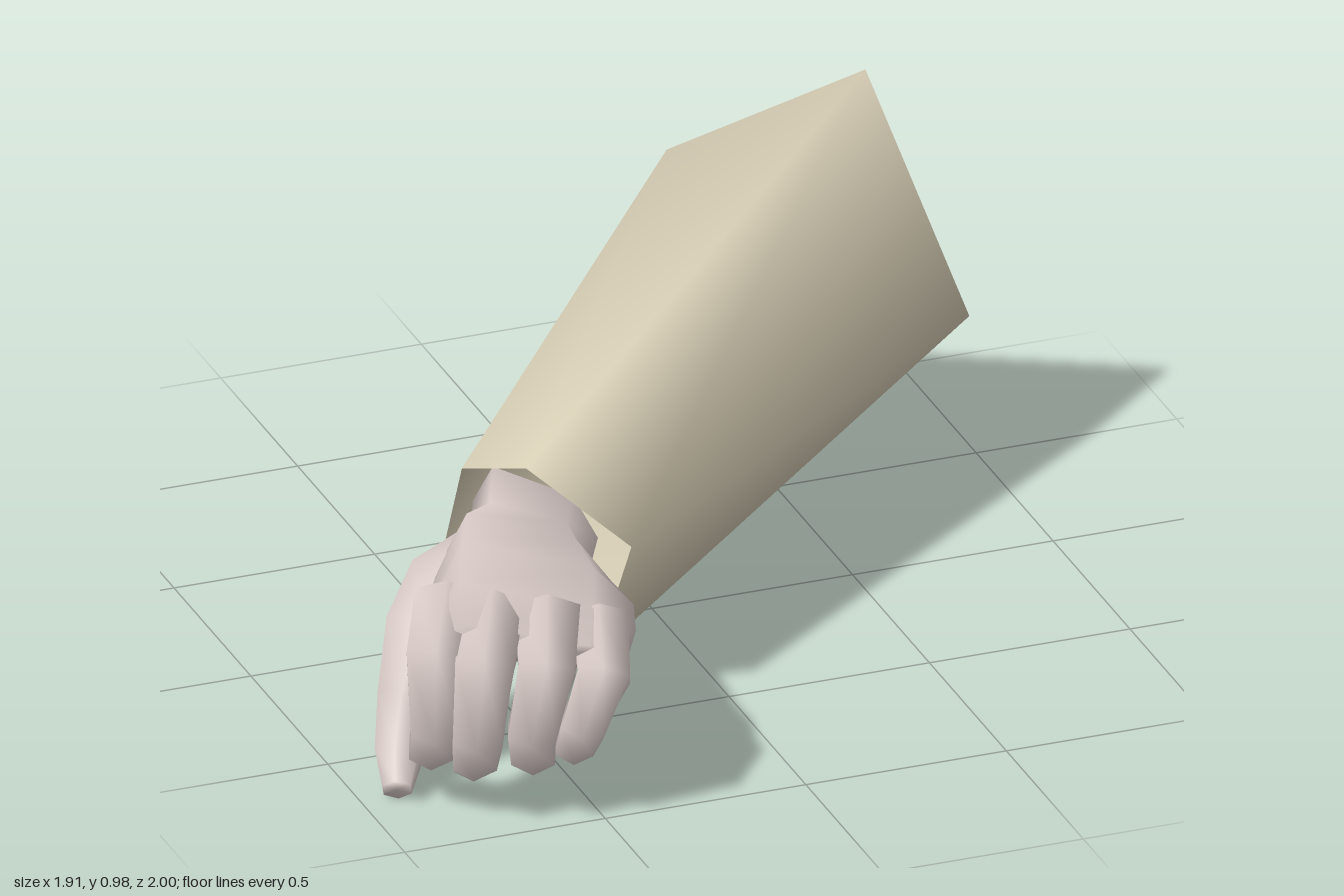
import * as THREE from 'three';

const V = (x, y, z) => new THREE.Vector3(x, y, z);

function buildGeometry(points, index) {
  const g = new THREE.BufferGeometry().setFromPoints(points);
  g.setIndex(index);
  g.computeVertexNormals();
  return g;
}

// Skin a list of equal-sized rings and close both ends
function loft(rings) {
  const n = rings[0].length, last = rings.length - 1;
  const points = rings.flat(), index = [];
  for (let r = 0; r < last; r++) {
    for (let i = 0; i < n; i++) {
      const a = r * n + i, b = r * n + (i + 1) % n;
      index.push(a, b, a + n, b, b + n, a + n);
    }
  }
  for (const r of [0, last]) {
    const centre = points.length;
    points.push(rings[r].reduce((s, p) => s.add(p), V(0, 0, 0)).divideScalar(n));
    for (let i = 0; i < n; i++) {
      const a = r * n + i, b = r * n + (i + 1) % n;
      if (r === 0) index.push(centre, b, a); else index.push(centre, a, b);
    }
  }
  // Turn the faces outward if the rings run the other way
  let volume = 0;
  for (let i = 0; i < index.length; i += 3) {
    volume += points[index[i]].dot(points[index[i + 1]].clone().cross(points[index[i + 2]]));
  }
  if (volume < 0) index.reverse();
  return buildGeometry(points, index);
}

// Six-sided tapered finger along joints [x, y, z, radius]
function fingerGeometry(joints, sideAxis) {
  const centres = joints.map(j => V(j[0], j[1], j[2]));
  return loft(joints.map((j, k) => {
    const before = centres[Math.max(k - 1, 0)], after = centres[Math.min(k + 1, centres.length - 1)];
    const dir = after.clone().sub(before).normalize();
    const side = sideAxis.clone().addScaledVector(dir, -sideAxis.dot(dir)).normalize();
    const up = dir.clone().cross(side);
    return Array.from({ length: 6 }, (_, i) => {
      const a = (i + 0.5) * Math.PI / 3;
      return centres[k].clone()
        .addScaledVector(side, Math.cos(a) * j[3] * 1.18)
        .addScaledVector(up, Math.sin(a) * j[3]);
    });
  }));
}

export function createModel() {
  const model = new THREE.Group();
  const skin = new THREE.MeshStandardMaterial({ color: 0xd9cbc8 });
  skin.name = 'pale skin';
  const cloth = new THREE.MeshStandardMaterial({ color: 0xd8cfb6, side: THREE.DoubleSide });
  cloth.name = 'beige cloth';

  const add = (parent, name, geometry, material) => {
    const mesh = new THREE.Mesh(geometry, material);
    mesh.name = name;
    parent.add(mesh);
  };

  // Open sleeve: six corners at the cuff, four at the elbow, with a slight twist
  const cuff = [V(-0.41, 0.55, 0.25), V(-0.22, 0.40, 0.44), V(-0.28, 0.10, 0.37),
    V(-0.50, 0.135, 0.14), V(-0.555, 0.27, 0.08), V(-0.52, 0.51, 0.12)];
  const elbow = [V(0.77, 0.98, -0.62), V(0.42, 0.66, -1.0), V(0.60, 0.22, -0.80), V(0.96, 0.39, -0.44)];
  add(model, 'sleeve', buildGeometry([...cuff, ...elbow], [
    0, 1, 6, 1, 9, 6,
    1, 2, 9,
    2, 3, 9, 3, 8, 9,
    3, 4, 8, 4, 7, 8,
    4, 5, 7,
    5, 0, 7, 0, 6, 7,
  ]), cloth);

  const hand = new THREE.Group();
  hand.name = 'hand';
  model.add(hand);

  // Palm sections: thumb edge x, z; outer edge x, z; top and bottom heights at each edge
  const sections = [
    [-0.47, 0.06, -0.25, 0.30, 0.49, 0.46, 0.29, 0.27],
    [-0.55, 0.25, -0.31, 0.41, 0.49, 0.46, 0.28, 0.25],
    [-0.68, 0.39, -0.31, 0.54, 0.545, 0.48, 0.28, 0.27],
    [-0.77, 0.57, -0.31, 0.69, 0.565, 0.48, 0.32, 0.28],
    [-0.84, 0.72, -0.37, 0.86, 0.54, 0.46, 0.37, 0.34],
    [-0.85, 0.80, -0.42, 0.94, 0.47, 0.41, 0.39, 0.35],
  ];
  add(hand, 'palm', loft(sections.map(([lx, lz, rx, rz, tl, tr, bl, br]) => {
    const at = (t, y) => V(lx + (rx - lx) * t, y, lz + (rz - lz) * t);
    return [at(0, (tl + bl) / 2), at(0.16, tl), at(0.8, tr), at(1, (tr + br) / 2), at(0.8, br), at(0.16, bl)];
  })), skin);

  // Curled fingers
  const fingers = {
    indexFinger: [[-0.77, 0.465, 0.68, 0.075], [-0.85, 0.395, 0.815, 0.068], [-0.865, 0.22, 0.845, 0.055],
      [-0.85, 0.14, 0.78, 0.05], [-0.83, 0.105, 0.72, 0.04]],
    middleFinger: [[-0.68, 0.455, 0.74, 0.075], [-0.755, 0.385, 0.88, 0.067], [-0.78, 0.21, 0.90, 0.057],
      [-0.76, 0.12, 0.83, 0.05], [-0.74, 0.08, 0.77, 0.042]],
    ringFinger: [[-0.56, 0.44, 0.78, 0.075], [-0.615, 0.37, 0.92, 0.065], [-0.66, 0.22, 0.94, 0.055],
      [-0.63, 0.13, 0.87, 0.05], [-0.60, 0.095, 0.80, 0.04]],
    littleFinger: [[-0.44, 0.41, 0.80, 0.068], [-0.48, 0.34, 0.94, 0.06], [-0.54, 0.22, 0.953, 0.05],
      [-0.54, 0.15, 0.90, 0.045], [-0.53, 0.125, 0.82, 0.038]],
  };
  for (const [name, joints] of Object.entries(fingers)) {
    add(hand, name, fingerGeometry(joints, V(0.93, 0, 0.36)), skin);
  }

  // Thumb with a broad root in the wrist, hanging below the palm
  add(hand, 'thumb', fingerGeometry([[-0.52, 0.385, 0.30, 0.07], [-0.66, 0.37, 0.43, 0.10],
    [-0.755, 0.30, 0.51, 0.092], [-0.83, 0.175, 0.58, 0.066], [-0.88, 0.075, 0.65, 0.052],
    [-0.92, 0.03, 0.74, 0.032]], V(0.75, 0, 0.6)), skin);

  return model;
}
